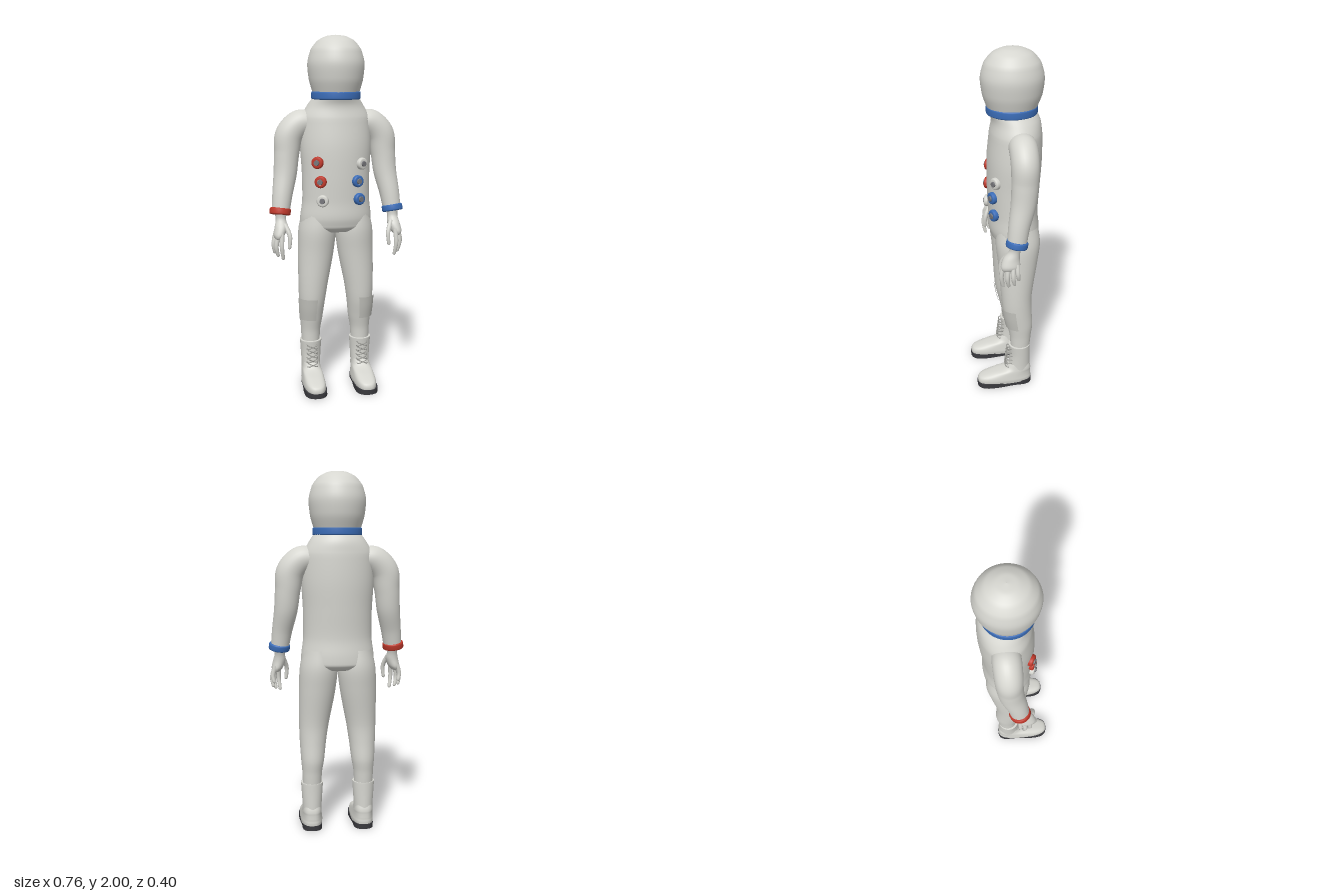
import * as THREE from 'three';

const mat = (name, color) => Object.assign(new THREE.MeshStandardMaterial({ color }), { name });

// Smooth skin through stations [x, y, z, radiusA, radiusB], listed from top to bottom.
// tilt: rings follow the path; power: 2 = ellipse, more = squarer; a0..a1: arc covered
function loft(stations, { tilt = false, power = 2, a0 = 0, a1 = Math.PI * 2, rows = 32, cols = 32 } = {}) {
  const path = new THREE.CatmullRomCurve3(stations.map(s => new THREE.Vector3(s[0], s[1], s[2])));
  const radii = new THREE.CatmullRomCurve3(stations.map(s => new THREE.Vector3(s[3], s[4], 0)));
  const closed = a1 - a0 > 6.28;
  const stride = closed ? cols : cols + 1;
  const u = new THREE.Vector3(1, 0, 0), w = new THREE.Vector3(0, 0, 1);
  const pos = [], index = [];
  const round = v => Math.sign(v) * Math.abs(v) ** (2 / power);
  for (let i = 0; i <= rows; i++) {
    const c = path.getPoint(i / rows), r = radii.getPoint(i / rows);
    if (tilt) {
      const t = path.getTangent(i / rows);
      w.set(0, 0, 1).addScaledVector(t, -t.z).normalize();
      u.crossVectors(w, t);
    }
    for (let j = 0; j < stride; j++) {
      const a = a0 + (a1 - a0) * j / cols;
      const p = c.clone()
        .addScaledVector(u, Math.max(r.x, 0.0005) * round(Math.cos(a)))
        .addScaledVector(w, Math.max(r.y, 0.0005) * round(Math.sin(a)));
      pos.push(p.x, p.y, p.z);
    }
  }
  for (let i = 0; i < rows; i++) {
    for (let j = 0; j < cols; j++) {
      const k = closed ? (j + 1) % cols : j + 1;
      const a = i * stride + j, b = i * stride + k;
      index.push(a, b, a + stride, b, b + stride, a + stride);
    }
  }
  const g = new THREE.BufferGeometry();
  g.setAttribute('position', new THREE.Float32BufferAttribute(pos, 3));
  g.setIndex(index);
  g.computeVertexNormals();
  return g;
}

// Rounded band around the y axis
function band(inner, outer, h) {
  const b = Math.min(0.008, h / 3), y = h / 2;
  const pts = [[inner, -y], [outer - b, -y], [outer - b * 0.3, -y + b * 0.3], [outer, -y + b],
    [outer, y - b], [outer - b * 0.3, y - b * 0.3], [outer - b, y], [inner, y]];
  return new THREE.LatheGeometry(pts.map(p => new THREE.Vector2(...p)), 40);
}

export function createModel() {
  const suit = mat('suit white', 0xd6d6d0);
  const blue = mat('blue', 0x3b6db8);
  const red = mat('red', 0xc0392b);
  const dark = mat('sole black', 0x3a3a3e);
  const metal = mat('connector grey', 0x77777b);
  const patchGrey = mat('patch grey', 0xc6c6c0);
  const laceGrey = mat('lace grey', 0xa2a29d);

  const model = new THREE.Group();
  model.name = 'astronaut';
  const up = new THREE.Vector3(0, 1, 0);
  const add = (name, geometry, material, parent = model) => {
    const m = new THREE.Mesh(geometry, material);
    m.name = name;
    parent.add(m);
    return m;
  };

  // Helmet and collar ring
  add('helmet', loft([
    [0, 2.0, -0.032, 0.001, 0.001], [0, 1.994, -0.032, 0.05, 0.053], [0, 1.97, -0.032, 0.1, 0.107],
    [0, 1.92, -0.032, 0.139, 0.149], [0, 1.84, -0.032, 0.157, 0.168], [0, 1.76, -0.032, 0.149, 0.159],
    [0, 1.68, -0.03, 0.126, 0.13],
  ], { cols: 48 }), suit);
  add('collarRing', band(0.11, 0.137, 0.044), blue).position.set(0, 1.675, -0.03);

  // Torso
  add('torso', loft([
    [0, 1.67, -0.03, 0.124, 0.124], [0, 1.62, -0.05, 0.158, 0.13], [0, 1.55, -0.05, 0.193, 0.14],
    [0, 1.4, -0.043, 0.2, 0.148], [0, 1.25, -0.038, 0.192, 0.144], [0, 1.1, -0.036, 0.191, 0.137],
    [0, 1.0, -0.04, 0.203, 0.141], [0, 0.95, -0.046, 0.204, 0.135], [0, 0.92, -0.046, 0.15, 0.105],
    [0, 0.905, -0.046, 0.001, 0.001],
  ], { rows: 54, cols: 48 }), suit);

  // Hose connectors on the chest: x, y, colour
  const connectors = [[-0.12, 1.315, red], [-0.105, 1.21, red], [-0.095, 1.105, suit],
    [0.12, 1.305, suit], [0.095, 1.21, blue], [0.105, 1.11, blue]];
  for (const [x, y, color] of connectors) {
    const g = new THREE.Group();
    g.name = 'hoseConnector';
    const z = -0.038 + 0.141 * Math.sqrt(1 - (x / 0.193) ** 2);
    g.position.set(x, y, z);
    const normal = new THREE.Vector3(x / 0.037, 0, (z + 0.038) / 0.02).normalize();
    g.quaternion.setFromUnitVectors(up, normal);
    add('connectorRing', band(0.016, 0.033, 0.03), color, g).position.y = 0.008;
    add('connectorHub', new THREE.CylinderGeometry(0.014, 0.018, 0.036, 20), metal, g).position.y = 0.012;
    model.add(g);
  }

  for (const s of [1, -1]) {
    const side = s > 0 ? 'left' : 'right';
    const flip = rows => rows.map(([x, ...rest]) => [s * x, ...rest]);

    // Arm with wrist cuff
    add(side + 'Arm', loft(flip([
      [0.13, 1.53, -0.055, 0.06, 0.07], [0.2, 1.52, -0.055, 0.077, 0.075], [0.258, 1.46, -0.053, 0.079, 0.074],
      [0.275, 1.36, -0.05, 0.07, 0.071], [0.286, 1.25, -0.04, 0.065, 0.067],
      [0.307, 1.13, -0.014, 0.056, 0.057], [0.32, 1.035, 0, 0.05, 0.052],
    ]), { tilt: true, rows: 40 }), suit);
    const cuff = add(side + 'WristCuff', band(0.02, 0.059, 0.038), s > 0 ? blue : red);
    cuff.position.set(s * 0.322, 1.04, -0.001);
    cuff.quaternion.setFromUnitVectors(up, new THREE.Vector3(-0.12 * s, 1, -0.2).normalize());

    // Hand and fingers
    const hand = new THREE.Group();
    hand.name = side + 'Hand';
    model.add(hand);
    add('palm', loft(flip([
      [0.32, 1.04, 0.002, 0.035, 0.037], [0.32, 1.0, 0.01, 0.029, 0.031], [0.322, 0.96, 0.028, 0.035, 0.044],
      [0.333, 0.92, 0.035, 0.033, 0.052], [0.34, 0.895, 0.037, 0.018, 0.042], [0.34, 0.89, 0.037, 0.001, 0.001],
    ]), { rows: 24, cols: 20 }), suit, hand);
    const fingers = [
      [[0.322, 0.93, 0.07], [0.325, 0.85, 0.083], [0.317, 0.785, 0.073]],
      [[0.34, 0.92, 0.048], [0.352, 0.85, 0.055], [0.342, 0.797, 0.047]],
      [[0.348, 0.92, 0.022], [0.364, 0.86, 0.026], [0.357, 0.812, 0.018]],
      [[0.345, 0.93, 0.0], [0.36, 0.875, 0.0], [0.354, 0.838, -0.006]],
      [[0.303, 0.975, 0.045], [0.279, 0.91, 0.076], [0.283, 0.845, 0.08]],
    ];
    for (const [a, b, c] of fingers) {
      const tip = [c[0], c[1] - 0.006, c[2]];
      add('finger', loft(flip([[...a, 0.014, 0.014], [...b, 0.012, 0.012], [...c, 0.009, 0.009],
        [...tip, 0.001, 0.001]]), { tilt: true, rows: 14, cols: 12 }), suit, hand);
    }

    // Leg and knee patch
    add(side + 'Leg', loft(flip([
      [0.105, 1.03, -0.045, 0.085, 0.115], [0.107, 0.92, -0.047, 0.106, 0.124], [0.115, 0.8, -0.045, 0.102, 0.11],
      [0.134, 0.6, -0.036, 0.083, 0.088], [0.14, 0.5, -0.041, 0.074, 0.083], [0.143, 0.4, -0.055, 0.065, 0.074],
      [0.146, 0.33, -0.058, 0.056, 0.062], [0.147, 0.25, -0.057, 0.052, 0.056],
    ]), { rows: 40 }), suit);
    const arc = [0.25, 1.8];
    add(side + 'KneePatch', loft(flip([
      [0.139, 0.53, -0.0385, 0.085, 0.092], [0.142, 0.465, -0.046, 0.079, 0.088], [0.143, 0.4, -0.055, 0.073, 0.082],
    ]), { a0: s > 0 ? arc[0] : Math.PI - arc[1], a1: s > 0 ? arc[1] : Math.PI - arc[0], rows: 8, cols: 16 }), patchGrey);

    // Boot: shaft, rim, foot and sole
    const boot = new THREE.Group();
    boot.name = side + 'Boot';
    boot.position.x = s * 0.147;
    model.add(boot);
    add('shaft', loft([
      [0, 0.27, -0.052, 0.05, 0.05], [0, 0.269, -0.052, 0.063, 0.063], [0, 0.2, -0.055, 0.058, 0.06],
      [0, 0.12, -0.052, 0.054, 0.064], [0, 0.05, -0.05, 0.054, 0.066],
    ], { rows: 24 }), suit, boot);
    add('foot', loft([
      [0, 0.14, -0.05, 0.048, 0.06], [0, 0.108, -0.042, 0.053, 0.077], [0, 0.085, 0.0, 0.057, 0.12],
      [0, 0.06, 0.034, 0.061, 0.155], [0, 0.04, 0.038, 0.063, 0.16], [0, 0.022, 0.038, 0.061, 0.159],
    ], { power: 2.7, rows: 24, cols: 40 }), suit, boot);
    const outline = new THREE.Shape();
    outline.moveTo(0, 0.2);
    outline.bezierCurveTo(0.05, 0.2, 0.064, 0.165, 0.064, 0.11);
    outline.bezierCurveTo(0.064, 0.04, 0.053, 0.02, 0.055, -0.05);
    outline.bezierCurveTo(0.057, -0.1, 0.04, -0.123, 0, -0.123);
    outline.bezierCurveTo(-0.04, -0.123, -0.057, -0.1, -0.055, -0.05);
    outline.bezierCurveTo(-0.053, 0.02, -0.064, 0.04, -0.064, 0.11);
    outline.bezierCurveTo(-0.064, 0.165, -0.05, 0.2, 0, 0.2);
    const soleGeometry = new THREE.ExtrudeGeometry(outline, { depth: 0.028, bevelEnabled: false, curveSegments: 10 });
    const sole = add('sole', soleGeometry, dark, boot);
    sole.rotation.x = Math.PI / 2;
    sole.position.y = 0.028;

    // Crossed laces up the front of the boot
    for (let i = 0; i < 5; i++) {
      const y = 0.12 + i * 0.026, z = 0.034 - i * 0.003;
      for (const d of [1, -1]) {
        const lace = new THREE.CatmullRomCurve3([[-0.031, y, z - 0.034], [-0.024, y + 0.003, z - 0.004],
          [0, y + 0.013, z], [0.024, y + 0.023, z - 0.004], [0.031, y + 0.026, z - 0.034],
        ].map(([a, b, c]) => new THREE.Vector3(a * d, b, c)));
        add('lace', new THREE.TubeGeometry(lace, 14, 0.003, 6), laceGrey, boot);
      }
    }
  }
  return model;
}
